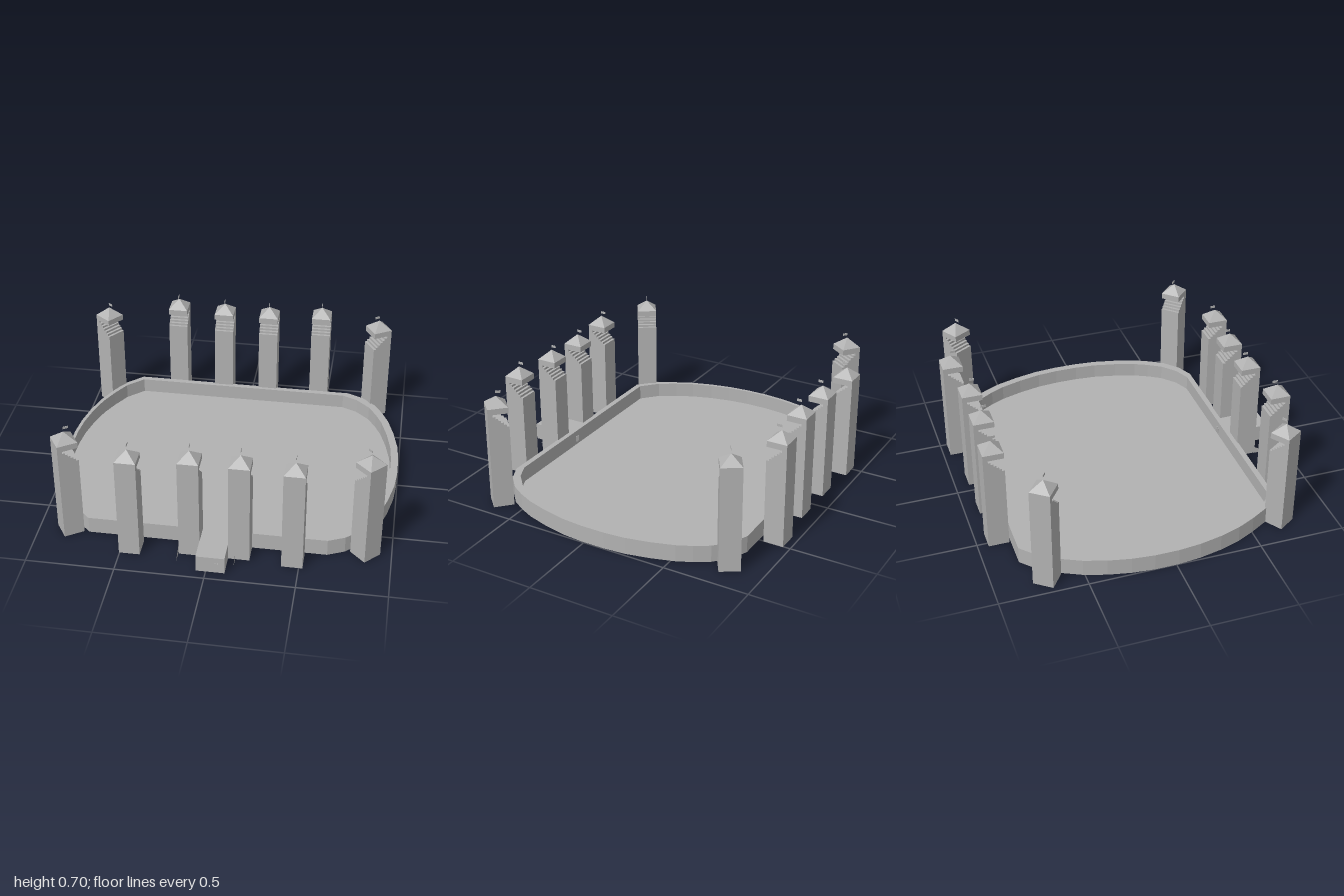
import * as THREE from 'three';

const stone = new THREE.MeshStandardMaterial({ color: 0xb2b2b2 });
stone.name = 'stone';
stone.side = THREE.DoubleSide;

const S = 0.118; // tower side
const H = S / 2;

function add(parent, geometry, name, x = 0, y = 0, z = 0) {
  const mesh = new THREE.Mesh(geometry, stone);
  mesh.name = name;
  mesh.position.set(x, y, z);
  parent.add(mesh);
  return mesh;
}

// Removes faces lying on the ground so the shaft is hollow from below
function openBottom(geometry) {
  const p = geometry.attributes.position;
  const kept = [];
  for (let i = 0; i < p.count; i += 3) {
    if (Math.max(p.getY(i), p.getY(i + 1), p.getY(i + 2)) < 1e-5) continue;
    for (let j = i; j < i + 3; j++) kept.push(new THREE.Vector3().fromBufferAttribute(p, j));
  }
  const g = new THREE.BufferGeometry().setFromPoints(kept);
  g.computeVertexNormals();
  return g;
}

// Side profile of a tower: shaft, stepped seats rising to the back, roof slab
function towerGeometry() {
  const s = new THREE.Shape();
  const steps = 6, depth = 0.09, low = 0.5, high = 0.58;
  s.moveTo(-H, 0);
  s.lineTo(H, 0);
  s.lineTo(H, low);
  for (let i = 1; i <= steps; i++) {
    const x = H - (depth * i) / steps;
    s.lineTo(x, low + ((high - low) * (i - 1)) / steps);
    s.lineTo(x, low + ((high - low) * i) / steps);
  }
  s.lineTo(H, high);
  s.lineTo(H, 0.615);
  s.lineTo(-H, 0.615);
  const g = new THREE.ExtrudeGeometry(s, { depth: S, bevelEnabled: false });
  g.translate(0, 0, -H);
  g.rotateY(-Math.PI / 2); // profile x becomes local +z, the inward side
  return openBottom(g.toNonIndexed ? (g.index ? g.toNonIndexed() : g) : g);
}

// Flat plan outline extruded upward; plan points are [x, z]
function slab(outer, inner, height) {
  const pts = (list) => list.map(([x, z]) => new THREE.Vector2(x, -z));
  const s = new THREE.Shape(pts(outer));
  if (inner) s.holes.push(new THREE.Path(pts(inner)));
  const g = new THREE.ExtrudeGeometry(s, { depth: height, bevelEnabled: false });
  return g.rotateX(-Math.PI / 2);
}

export function createModel() {
  const model = new THREE.Group();
  model.name = 'arena';

  // Plan: straight front and back, faceted bowed ends, mirrored about midZ
  const midZ = -0.055;
  const right = [[0.645, 0.758], [0.74, 0.715], [0.825, 0.637], [0.875, 0.555], [0.915, 0.47], [0.955, 0.34], [0.985, 0.2], [0.996, 0.07]];
  const left = [[-0.71, 0.758], [-0.81, 0.665], [-0.87, 0.56], [-0.92, 0.455], [-0.96, 0.33], [-0.987, 0.2], [-1, 0.07]];
  const flip = (list) => list.map(([x, z]) => [x, -z]).reverse();
  const plan = [...right, ...flip(right), ...left.map(([x, z]) => [x, -z]), ...[...left].reverse()];
  const outer = plan.map(([x, z]) => [x, z + midZ]);
  const inner = plan.map(([x, z]) => [x * 0.9685 - 0.012, z * 0.957 + midZ]);

  add(model, slab(outer, inner, 0.1), 'arenaWall');
  add(model, slab(inner, null, 0.01), 'arenaFloor');

  // Entrance block with a pair of small handles at each end
  add(model, new THREE.BoxGeometry(0.16, 0.1, 0.24), 'entranceBlock', 0.025, 0.05, 0.823);
  for (const z of [0.946, 0.665]) {
    for (const side of [-1, 1]) {
      add(model, new THREE.BoxGeometry(0.006, 0.034, 0.008), 'doorHandle', 0.06 + side * 0.007, 0.048, z);
    }
  }

  // Thin spurs beside the entrance
  const spur = new THREE.BufferGeometry().setFromPoints([
    new THREE.Vector3(0, 0, 0.885), new THREE.Vector3(0, 0, 0.81), new THREE.Vector3(0, 0.045, 0.81),
  ]);
  spur.computeVertexNormals();
  for (const x of [-0.175, 0.145]) add(model, spur, 'entranceSpur', x);

  // Towers: x, z and the inward direction they face
  const towers = [
    [-0.47, -0.88, 0, 1], [-0.17, -0.86, 0, 1], [0.115, -0.86, 0, 1], [0.445, -0.9, 0, 1],
    [-0.445, 0.797, 0, -1], [-0.113, 0.757, 0, -1], [0.165, 0.757, 0, -1], [0.462, 0.78, 0, -1],
    [-0.888, -0.703, 0.8, 0.59], [0.81, -0.79, -0.85, 0.52],
    [-0.82, 0.685, 0.836, -0.55], [0.853, 0.655, -0.72, -0.7],
  ];
  const body = towerGeometry();
  const roof = new THREE.ConeGeometry(H * Math.SQRT2, 0.053, 4, 1, true).rotateY(Math.PI / 4).toNonIndexed();
  roof.computeVertexNormals();
  const flag = new THREE.BoxGeometry(0.003, 0.014, 0.03);
  for (const [x, z, nx, nz] of towers) {
    const tower = new THREE.Group();
    tower.name = 'tower';
    add(tower, body, 'towerBody');
    add(tower, roof, 'towerRoof', 0, 0.6415, 0);
    add(tower, flag, 'towerFlag', 0, 0.691, 0.015);
    tower.position.set(x, 0, z);
    tower.rotation.y = Math.atan2(nx, nz);
    model.add(tower);
  }
  return model;
}
